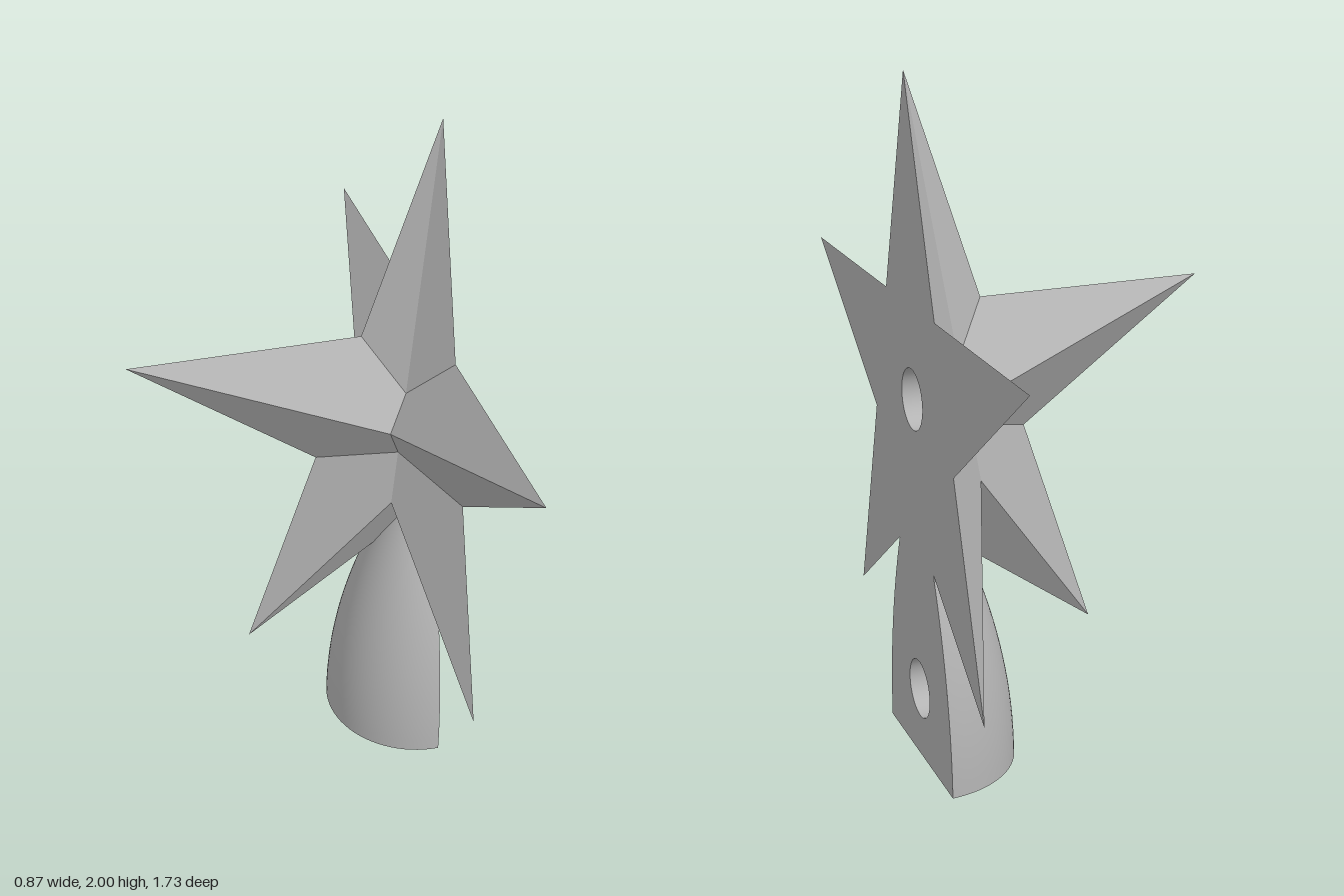
import * as THREE from 'three';

const AXIS = 0.433;      // x of the flat mounting face, also the stem axis
const CY = 1.09;         // height of the star centre
const R = 0.91;          // radius of the star tips
const INNER = R * 0.382; // radius of the notches
const H = 0.2;           // thickness of a star at its centre
const STEM_TOP = 0.93;
const stemRadius = y => 0.273 - y * y / 3.2;

// Star outline, clockwise from the top tip: [sideways, up]
const starPoint = k => {
  const a = k * Math.PI / 5, r = k % 2 ? INNER : R;
  return [r * Math.sin(a), CY + r * Math.cos(a)];
};

// Faceted faces from an apex to each edge of a rim
function fan(apex, rim, flip) {
  const pos = [];
  for (let i = 0; i < rim.length - 1; i++) {
    const [a, b] = flip ? [rim[i], rim[i + 1]] : [rim[i + 1], rim[i]];
    pos.push(...apex, ...a, ...b);
  }
  const g = new THREE.BufferGeometry();
  g.setAttribute('position', new THREE.Float32BufferAttribute(pos, 3));
  g.computeVertexNormals();
  return g;
}

export function createModel() {
  const group = new THREE.Group();
  const grey = new THREE.MeshStandardMaterial({ color: 0xb4b4b4 });
  grey.name = 'grey';
  const add = (name, geometry) => {
    const mesh = new THREE.Mesh(geometry, grey);
    mesh.name = name;
    group.add(mesh);
    return mesh;
  };

  // Wide star lying along the mounting face
  const wideRim = [];
  for (let k = 0; k <= 10; k++) {
    const [s, y] = starPoint(k);
    wideRim.push([AXIS, y, s]);
  }
  add('wideStar', fan([AXIS - H, CY, 0], wideRim, false));

  // Half star standing out from the mounting face, two mirrored sides
  const halfRim = [];
  for (let k = 5; k <= 10; k++) {
    const [s, y] = starPoint(k);
    halfRim.push([AXIS + s, y, 0]);
  }
  add('halfStarFront', fan([AXIS, CY, H], halfRim, false));
  add('halfStarBack', fan([AXIS, CY, -H], halfRim, true));

  // Half-round tapering stem and its underside
  const profile = [];
  for (let i = 0; i <= 24; i++) {
    const y = STEM_TOP * i / 24;
    profile.push(new THREE.Vector2(Math.max(stemRadius(y), 0), y));
  }
  add('stem', new THREE.LatheGeometry(profile, 40, Math.PI, Math.PI)).position.x = AXIS;
  const under = new THREE.CircleGeometry(stemRadius(0), 40, Math.PI / 2, Math.PI);
  add('stemUnderside', under.rotateX(Math.PI / 2)).position.x = AXIS;

  // Flat mounting face: star joined with the stem outline
  const slope = (CY - INNER - starPoint(4)[1]) / starPoint(4)[0];
  let joinY = 0.63; // where the stem edge meets the lower arms
  for (let i = 0; i < 20; i++) joinY = CY - INNER - slope * stemRadius(joinY);
  const right = [];
  for (let k = 0; k <= 4; k++) right.push(starPoint(k));
  for (let i = 0; i <= 16; i++) {
    const y = joinY * (1 - i / 16);
    right.push([stemRadius(y), y]);
  }
  const left = right.slice(1).reverse().map(([s, y]) => [-s, y]);
  const face = new THREE.Shape([...right, ...left].map(p => new THREE.Vector2(...p)));

  // Two round blind sockets sunk into the face
  const socketR = 0.088, depth = 0.09;
  for (const [name, y] of [['upperSocket', 1.1], ['lowerSocket', 0.215]]) {
    const hole = new THREE.Path();
    hole.absarc(0, y, socketR, 0, Math.PI * 2, true);
    face.holes.push(hole);
    const wall = new THREE.LatheGeometry(
      [new THREE.Vector2(socketR, 0), new THREE.Vector2(socketR, -depth)], 40);
    add(name + 'Wall', wall.rotateZ(-Math.PI / 2)).position.set(AXIS, y, 0);
    const floor = new THREE.CircleGeometry(socketR, 40);
    add(name + 'Floor', floor.rotateY(Math.PI / 2)).position.set(AXIS - depth, y, 0);
  }
  add('mountingFace', new THREE.ShapeGeometry(face, 20).rotateY(Math.PI / 2)).position.x = AXIS;

  return group;
}
